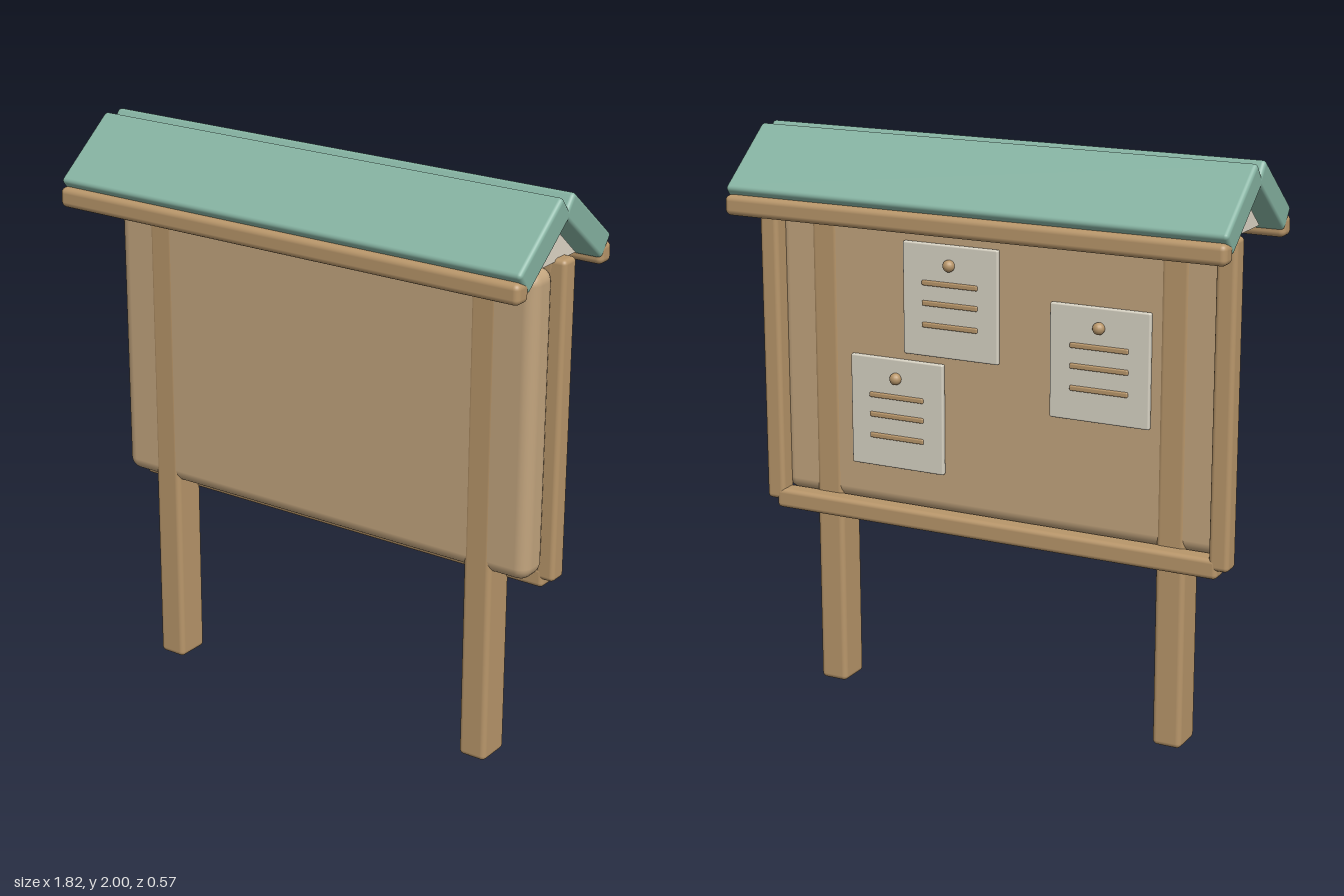
import * as THREE from 'three';
import { RoundedBoxGeometry } from 'three/addons/geometries/RoundedBoxGeometry.js';

const paint = (color) => new THREE.MeshStandardMaterial({ color });
const wood = paint(0xb8966a);
const boardWood = paint(0xc3a57e);
const roofGreen = paint(0x86b3a2);
const paperWhite = paint(0xd8d3c4);
const cream = paint(0xe0d8c8);
const pinTan = paint(0xb8966a);

// Rounded block centred on (x, y, z)
function block(parent, name, size, pos, radius, material) {
  const mesh = new THREE.Mesh(new RoundedBoxGeometry(...size, 3, radius), material);
  mesh.name = name;
  mesh.position.set(...pos);
  parent.add(mesh);
  return mesh;
}

// Pinned sheet with three written lines, on the back of the board
function notice(x, y) {
  const g = new THREE.Group();
  g.name = 'notice';
  g.position.set(x, y, -0.07);
  block(g, 'paper', [0.36, 0.39, 0.02], [0, 0, 0], 0.006, paperWhite);
  for (const ly of [0.06, -0.01, -0.085]) {
    block(g, 'writtenLine', [0.21, 0.018, 0.012], [0, ly, -0.011], 0.005, wood);
  }
  const pin = new THREE.Mesh(new THREE.SphereGeometry(0.021, 16, 12), pinTan);
  pin.name = 'pin';
  pin.position.set(0, 0.127, -0.016);
  g.add(pin);
  return g;
}

export function createModel() {
  const model = new THREE.Group();
  model.name = 'noticeBoard';

  // Posts and board
  for (const s of [-1, 1]) {
    block(model, 'post', [0.104, 1.77, 0.128], [s * 0.653, 0.885, 0.001], 0.018, wood);
  }
  block(model, 'board', [1.68, 1.05, 0.124], [0, 1.225, 0.002], 0.045, boardWood);

  // Frame around the back of the board
  const frame = new THREE.Group();
  frame.name = 'frame';
  for (const s of [-1, 1]) {
    block(frame, 'frameSide', [0.07, 1.1, 0.072], [s * 0.845, 1.225, -0.081], 0.016, wood);
  }
  for (const y of [0.68, 1.75]) {
    block(frame, 'frameRail', [1.68, 0.07, 0.074], [0, y, -0.081], 0.016, wood);
  }
  model.add(frame);

  // Notices
  for (const [x, y] of [[0.155, 1.455], [0.365, 1.04], [-0.397, 1.303]]) {
    model.add(notice(x, y));
  }

  // Pitched roof slabs with eave strips
  const pitch = THREE.MathUtils.degToRad(38.5);
  for (const s of [-1, 1]) {
    const slab = block(model, 'roofSlab', [1.82, 0.09, 0.31], [0, 1.874, s * 0.128], 0.014, roofGreen);
    slab.rotation.x = s * pitch;
    block(model, 'eaveStrip', [1.82, 0.07, 0.068], [0, 1.755, s * 0.251], 0.02, wood);
  }

  // Triangular filler under the ridge
  const gable = new THREE.Shape();
  gable.moveTo(-0.175, 1.765);
  gable.lineTo(0.175, 1.765);
  gable.lineTo(0, 1.91);
  const filler = new THREE.Mesh(
    new THREE.ExtrudeGeometry(gable, { depth: 1.68, bevelEnabled: false }), cream);
  filler.name = 'gableFiller';
  filler.rotation.y = Math.PI / 2;
  filler.position.x = -0.84;
  model.add(filler);

  return model;
}
